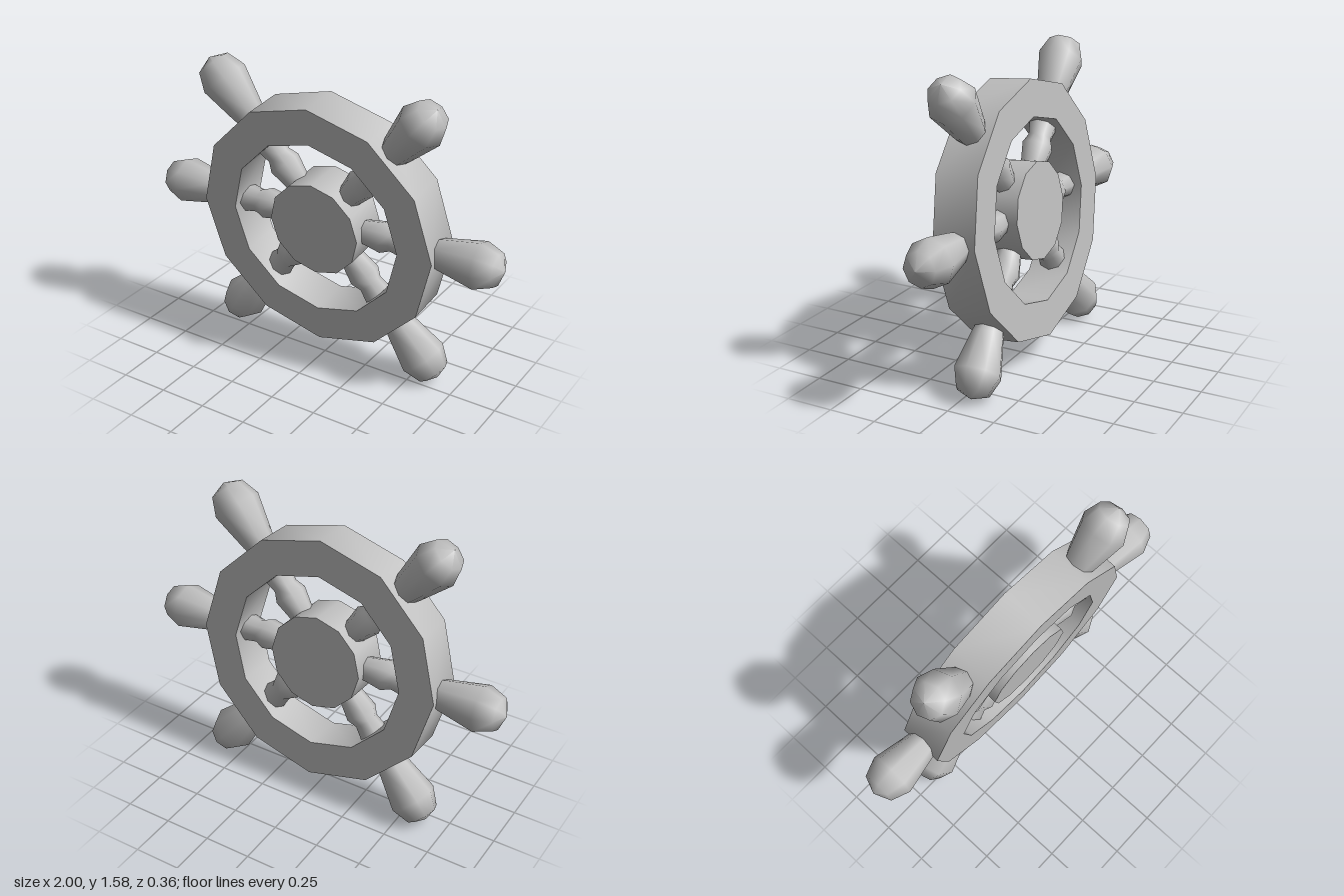
import * as THREE from 'three';
import { toCreasedNormals } from 'three/addons/utils/BufferGeometryUtils.js';

const DEPTH = 0.226;
const profile = (pairs) => pairs.map(([r, y]) => new THREE.Vector2(r, y));

export function createModel() {
  const model = new THREE.Group();
  model.name = 'steeringWheel';
  const grey = new THREE.MeshStandardMaterial({ color: 0xc0c0c0 });
  grey.name = 'grey';

  // the whole wheel leans slightly forward at the top
  const wheel = new THREE.Group();
  wheel.name = 'wheel';
  wheel.position.y = 0.791;
  wheel.rotation.x = THREE.MathUtils.degToRad(5);
  model.add(wheel);

  const add = (name, geometry, parent = wheel) => {
    const mesh = new THREE.Mesh(geometry, grey);
    mesh.name = name;
    parent.add(mesh);
    return mesh;
  };

  // twelve-sided rim with a rectangular section
  const h = DEPTH / 2;
  const rim = new THREE.LatheGeometry(
    profile([[0.67, -h], [0.67, h], [0.48, h], [0.48, -h], [0.67, -h]]), 12);
  add('rim', toCreasedNormals(rim.rotateX(Math.PI / 2), 0.7));

  // hub disc
  add('hub', new THREE.CylinderGeometry(0.255, 0.255, DEPTH, 12).rotateX(Math.PI / 2));

  // turned spokes inside the rim, handles outside it
  const spoke = new THREE.LatheGeometry(
    profile([[0.06, 0.2], [0.066, 0.255], [0.083, 0.35], [0.062, 0.4], [0.074, 0.47], [0.06, 0.52]]), 8);
  const handle = new THREE.LatheGeometry(
    profile([[0.05, 0.56], [0.083, 0.67], [0.123, 0.87], [0.087, 0.965], [0, 1.0]]), 8);

  for (const angle of [0, 50, 130, 180, 230, 310]) {
    const arm = new THREE.Group();
    arm.name = 'arm';
    arm.rotation.z = THREE.MathUtils.degToRad(angle - 90);
    add('spoke', spoke, arm);
    add('handle', handle, arm);
    wheel.add(arm);
  }
  return model;
}
